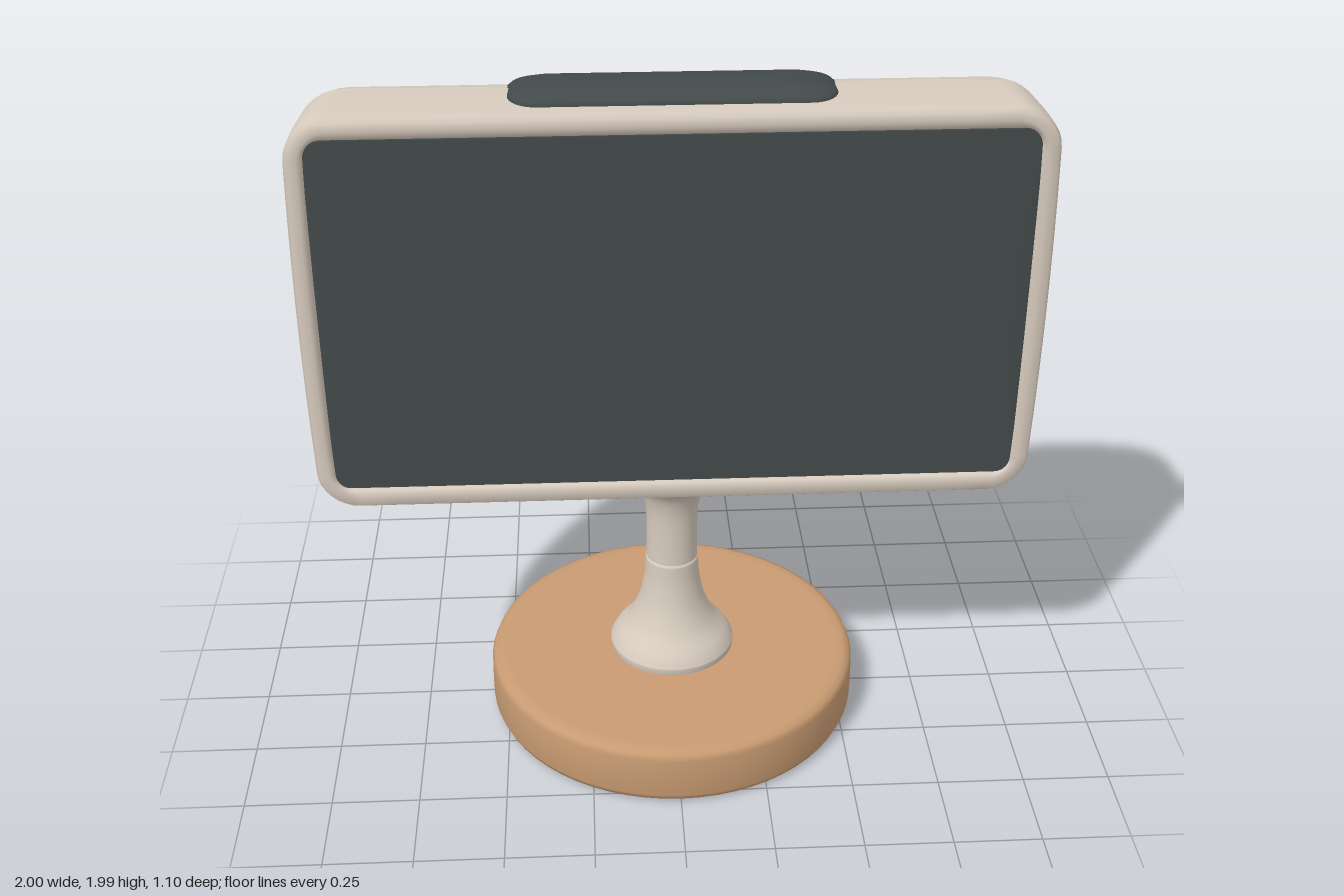
import * as THREE from 'three';

const mat = (name, color) => new THREE.MeshStandardMaterial({ name, color });

// Points of a rounded rectangle, counterclockwise, with evenly divided sides
function roundRect(w, yb, yt, r) {
  r = Math.min(r, (yt - yb) / 2, w);
  const corners = [[w - r, yb + r, -0.5], [w - r, yt - r, 0], [r - w, yt - r, 0.5], [r - w, yb + r, 1]];
  const arcs = corners.map(([cx, cy, a]) => Array.from({ length: 9 }, (_, i) => {
    const t = (a + i / 16) * Math.PI;
    return [cx + r * Math.cos(t), cy + r * Math.sin(t)];
  }));
  const pts = [];
  arcs.forEach((arc, k) => {
    pts.push(...arc);
    const a = arc[8], b = arcs[(k + 1) % 4][0];
    for (let i = 1; i < 16; i++) pts.push([a[0] + (b[0] - a[0]) * i / 16, a[1] + (b[1] - a[1]) * i / 16]);
  });
  return pts;
}

// Skin through rings [halfWidth, yBottom, yTop, radius, zBottom, zTop], ordered back to front
function loft(rings, bend = (x, y, z) => [x, y, z]) {
  const pos = [], index = [];
  let n = 0;
  for (const [w, yb, yt, r, zb, zt] of rings) {
    const pts = roundRect(w, yb, yt, r);
    n = pts.length;
    for (const [x, y] of pts) {
      const t = yt - yb > 1e-5 ? (y - yb) / (yt - yb) : 0.5;
      pos.push(...bend(x, y, zb + (zt - zb) * t));
    }
  }
  for (let i = 0; i < rings.length - 1; i++) {
    for (let j = 0; j < n; j++) {
      const a = i * n + j, b = i * n + (j + 1) % n;
      index.push(a, b, b + n, a, b + n, a + n);
    }
  }
  const g = new THREE.BufferGeometry();
  g.setAttribute('position', new THREE.Float32BufferAttribute(pos, 3));
  g.setIndex(index);
  g.computeVertexNormals();
  return g;
}

const lathe = (pts) => new THREE.LatheGeometry(pts.map(([r, y]) => new THREE.Vector2(r, y)), 64);

// Smooth lathe profile through a few points
const smooth = (pts) => new THREE.SplineCurve(pts.map(([r, y]) => new THREE.Vector2(r, y)))
  .getPoints(40).map((p) => [Math.max(p.x, 0), p.y]);

export function createModel() {
  const group = new THREE.Group();
  const shell = mat('warmGrey', 0xd6cabd);
  const dark = mat('charcoal', 0x434a4a);
  const wood = mat('tan', 0xc89b72);
  const add = (name, geometry, material) => {
    const m = new THREE.Mesh(geometry, material);
    m.name = name;
    group.add(m);
    return m;
  };

  // Sides bulge slightly at mid height; the back bows across its width
  const bulge = (x, y) => x * (1 - 0.012 * ((y - 1.38) / 0.57) ** 2);
  const bow = (x, y, z) => [bulge(x, y), y, z + 0.05 * x * x * THREE.MathUtils.smoothstep(-z, 0.05, 0.33)];

  // Front shell with rim around the screen
  add('frontBezel', loft([
    [0.965, 0.845, 1.93, 0.10, 0.112, 0.004],
    [0.985, 0.822, 1.953, 0.12, 0.112, 0.004],
    [0.990, 0.815, 1.957, 0.125, 0.118, 0.012],
    [1.000, 0.808, 1.952, 0.12, 0.165, 0.12],
    [1.000, 0.810, 1.946, 0.11, 0.195, 0.195],
    [0.990, 0.820, 1.938, 0.10, 0.210, 0.210],
    [0.965, 0.850, 1.915, 0.08, 0.212, 0.212],
    [0.950, 0.865, 1.895, 0.05, 0.205, 0.205],
    [0.945, 0.870, 1.890, 0.045, 0.185, 0.185],
  ], (x, y, z) => [bulge(x, y), y, z]), shell);

  // Back shell: top edge (halfWidth, y, z) and bottom edge (cornerRadius, y, z), back to seam
  const curve = (pts) => new THREE.CatmullRomCurve3(pts.map((p) => new THREE.Vector3(...p)));
  const top = curve([[0.72, 1.461, -0.335], [0.79, 1.54, -0.33], [0.84, 1.64, -0.308], [0.885, 1.73, -0.27],
    [0.92, 1.82, -0.215], [0.95, 1.893, -0.145], [0.975, 1.938, -0.07], [0.988, 1.955, -0.004]]);
  const bottom = curve([[0, 1.46, -0.335], [0.06, 1.39, -0.322], [0.12, 1.26, -0.288], [0.16, 1.11, -0.235],
    [0.17, 0.99, -0.17], [0.15, 0.89, -0.08], [0.13, 0.84, 0.01], [0.12, 0.819, 0.104]]);
  const backRings = Array.from({ length: 29 }, (_, i) => {
    const a = top.getPoint(i / 28), b = bottom.getPoint(i / 28);
    return [a.x, b.y, a.y, Math.max(b.x, 0), b.z, a.z];
  });
  backRings.push([0.965, 0.845, 1.93, 0.10, 0.104, -0.004]);
  add('backShell', loft(backRings, bow), shell);

  // Screen
  add('screen', loft([
    [0.947, 0.868, 1.892, 0.045, 0.194, 0.194],
    [0.944, 0.871, 1.889, 0.045, 0.200, 0.200],
    [0.900, 1.380, 1.380, 0, 0.200, 0.200],
  ]), dark);

  // Domed pad on top, lofted upright and laid flat
  const pad = loft([
    [0.43, -0.145, 0.09, 0.08, 1.92, 1.92],
    [0.43, -0.145, 0.09, 0.08, 1.952, 1.95],
    [0.42, -0.135, 0.08, 0.075, 1.962, 1.96],
    [0.38, -0.110, 0.05, 0.06, 1.975, 1.973],
    [0.30, -0.080, 0.01, 0.04, 1.983, 1.983],
    [0.25, -0.040, -0.04, 0, 1.986, 1.986],
  ]);
  pad.rotateX(-Math.PI / 2);
  add('topPad', pad, dark);

  // Upper neck flares into the housing and swells toward the back
  const neck = lathe(smooth([[0.076, 0.495], [0.075, 0.6], [0.08, 0.68], [0.1, 0.74], [0.145, 0.785], [0.19, 0.82],
    [0.207, 0.9], [0.205, 1.0], [0.19, 1.1], [0.15, 1.22], [0.05, 1.31]]));
  const p = neck.attributes.position;
  for (let i = 0; i < p.count; i++) {
    const s = THREE.MathUtils.smoothstep(p.getY(i), 0.78, 0.9);
    const z = p.getZ(i);
    p.setZ(i, z * (z < 0 ? 1 + 0.32 * s : 1 - 0.4 * s));
  }
  neck.computeVertexNormals();
  add('upperNeck', neck, shell);

  // Lower neck with a flared foot
  add('lowerNeck', lathe([[0.18, 0.165], [0.186, 0.175], ...smooth([[0.187, 0.195], [0.17, 0.225], [0.13, 0.275],
    [0.1, 0.34], [0.083, 0.42], [0.078, 0.49]]), [0.07, 0.497]]), shell);

  // Round base with softened edges
  add('base', lathe([[0, 0], [0.5, 0], [0.525, 0.002], [0.543, 0.01], [0.551, 0.028], [0.552, 0.09], [0.551, 0.15],
    [0.543, 0.168], [0.525, 0.176], [0.5, 0.178], [0, 0.178]]), wood);

  return group;
}
